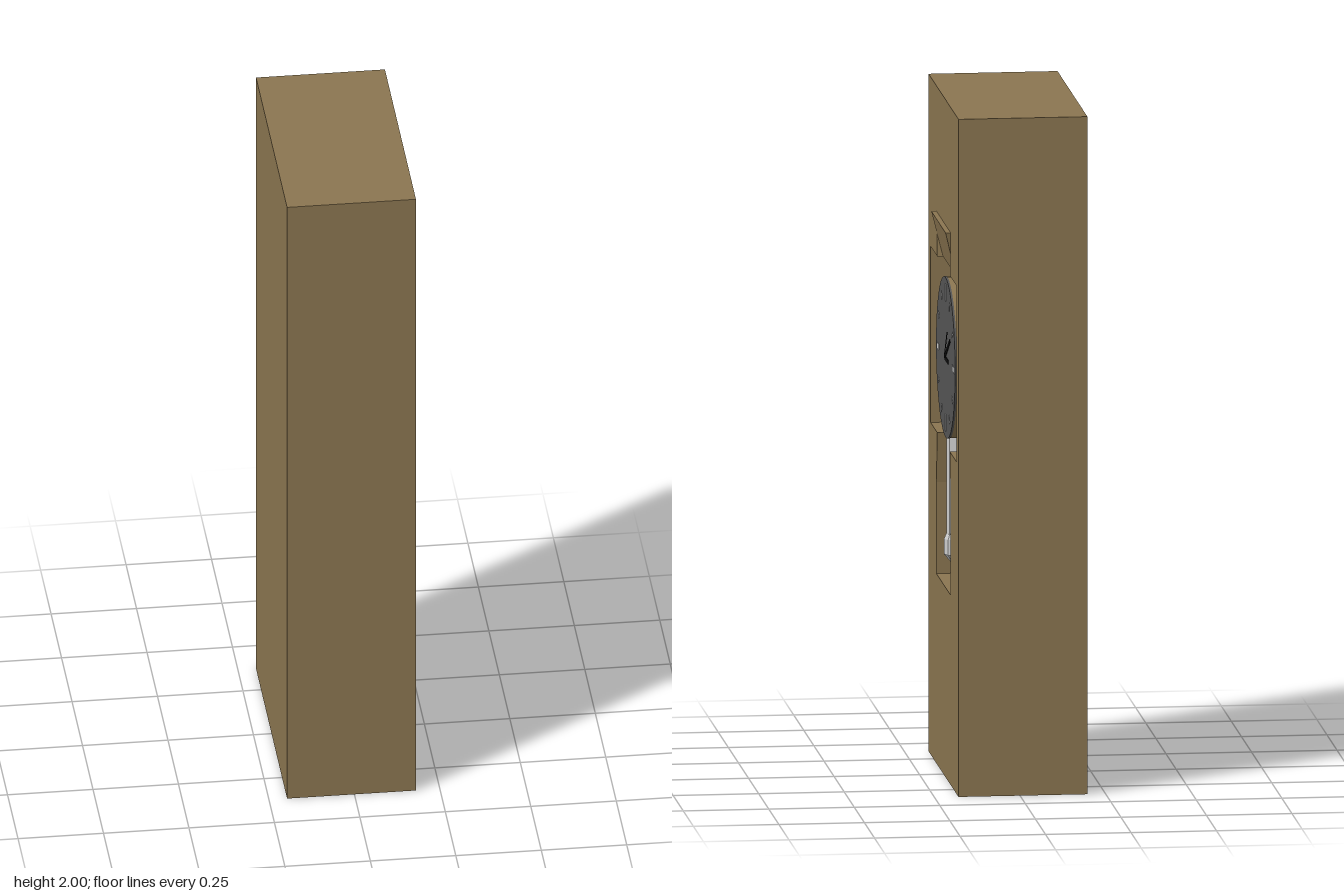
import * as THREE from 'three';

const wood = new THREE.MeshStandardMaterial({ color: 0x8a7550 });
const grey = new THREE.MeshStandardMaterial({ color: 0xcccccc });
const dark = new THREE.MeshStandardMaterial({ color: 0x555555 });
const black = new THREE.MeshStandardMaterial({ color: 0x111111 });

// Depth levels, from the back of the case to its front
const BACK = -0.197, SLOT = 0.01, BAY = 0.06, FRONT = 0.18;
const CY = 1.23; // height of the dial centre

export function createModel() {
  const root = new THREE.Group();
  // Everything is built facing +z, then turned so the dial faces +x
  const clock = new THREE.Group();
  clock.name = 'clock';
  clock.rotation.y = Math.PI / 2;
  root.add(clock);

  const add = (name, geometry, material, x = 0, y = 0, z = 0, parent = clock) => {
    const mesh = new THREE.Mesh(geometry, material);
    mesh.name = name;
    mesh.position.set(x, y, z);
    parent.add(mesh);
    return mesh;
  };

  // Slice of the case with an opening, mirrored from half an outline
  const caseSlice = (name, half, z0, z1) => {
    const shape = new THREE.Shape();
    shape.moveTo(-0.37, 0).lineTo(0.37, 0).lineTo(0.37, 2).lineTo(-0.37, 2).closePath();
    const mirrored = half.map(([x, y]) => [-x, y]).reverse();
    shape.holes.push(new THREE.Path([...half, ...mirrored].map(([x, y]) => new THREE.Vector2(x, y))));
    add(name, new THREE.ExtrudeGeometry(shape, { depth: z1 - z0, bevelEnabled: false }), wood, 0, 0, z0);
  };

  // Case: solid back, slotted middle, front with the bay for the dial
  add('caseBack', new THREE.BoxGeometry(0.74, 2, SLOT - BACK), wood, 0, 1, (SLOT + BACK) / 2);
  const lower = [[0.177, 0.56], [0.177, 0.83], [0.155, 0.98]];
  caseSlice('caseMiddle', [...lower, [0.155, 1.5]], SLOT, BAY);
  caseSlice('caseFront', [...lower, [0.32, 0.98], [0.32, 1.5], [0.155, 1.5], [0.177, 1.63]], BAY, FRONT);

  // Flared panel above the dial, leaning out at its top
  const panel = new THREE.BoxGeometry(1, 1, 1).toNonIndexed();
  const p = panel.attributes.position;
  for (let i = 0; i < p.count; i++) {
    const top = p.getY(i) > 0;
    p.setXYZ(i, Math.sign(p.getX(i)) * (top ? 0.177 : 0.155), top ? 1.63 : 1.5,
      p.getZ(i) < 0 ? BAY : top ? 0.195 : 0.163);
  }
  panel.computeVertexNormals();
  add('upperPanel', panel, wood);

  // Drum and dial
  const disc = (name, radius, z0, z1, material) => {
    const geometry = new THREE.CylinderGeometry(radius, radius, z1 - z0, 48).rotateX(Math.PI / 2);
    add(name, geometry, material, 0, CY, (z0 + z1) / 2);
  };
  disc('drum', 0.235, SLOT, 0.168, wood);
  disc('dial', 0.236, 0.168, 0.174, dark);

  // Hour marks, larger at the quarters
  for (let i = 0; i < 12; i++) {
    const big = i % 3 === 0, a = (i * Math.PI) / 6;
    const mark = add('hourMark', new THREE.BoxGeometry(big ? 0.018 : 0.009, big ? 0.05 : 0.025, 0.002),
      grey, Math.sin(a) * 0.192, CY + Math.cos(a) * 0.192, 0.1745);
    mark.rotation.z = -a;
  }

  // Hands, angles measured clockwise from the top
  const hand = (name, length, width, degrees, z) => {
    const geometry = new THREE.BoxGeometry(width, length, 0.002).translate(0, length / 2, 0);
    add(name, geometry, black, 0, CY, z).rotation.z = -THREE.MathUtils.degToRad(degrees);
  };
  hand('hourHand', 0.08, 0.013, 90, 0.176);
  hand('minuteHand', 0.15, 0.012, 61, 0.177);
  hand('secondHand', 0.11, 0.005, 39, 0.178);

  // Pendulum: faceted rod with a pointed bob
  const facets = (profile, sides) => {
    const geometry = new THREE.LatheGeometry(profile.map(([r, y]) => new THREE.Vector2(r, y)), sides).toNonIndexed();
    geometry.computeVertexNormals();
    return geometry;
  };
  const pendulum = new THREE.Group();
  pendulum.name = 'pendulum';
  pendulum.position.z = 0.146;
  clock.add(pendulum);
  add('pendulumRod', facets([[0, 0.69], [0.026, 0.69], [0.026, 1.02], [0, 1.02]], 8), grey, 0, 0, 0, pendulum).scale.x = 0.6;
  add('pendulumBob', facets([[0, 0.61], [0.016, 0.63], [0.033, 0.65], [0.033, 0.695], [0.026, 0.71], [0, 0.71]], 8), grey, 0, 0, 0, pendulum);

  return root;
}
